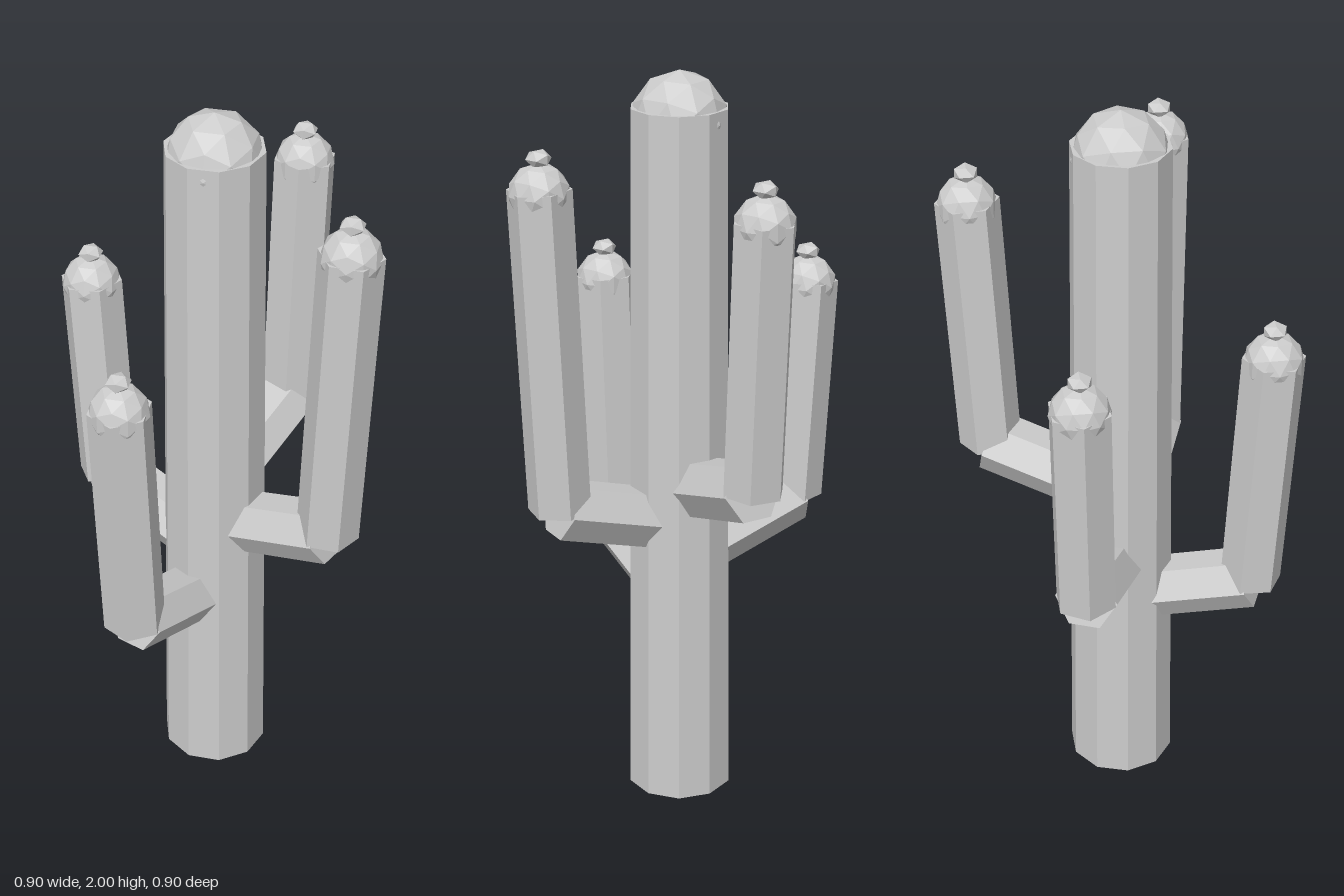
import * as THREE from 'three';

const green = new THREE.MeshStandardMaterial({ color: 0xcccccc, flatShading: true });
green.name = 'plain grey';

function addMesh(parent, name, geometry, x, y, z) {
  const mesh = new THREE.Mesh(geometry, green);
  mesh.name = name;
  mesh.position.set(x, y, z);
  parent.add(mesh);
  return mesh;
}

// Six-sided limb between two points of an arm's vertical plane (radial, height)
function addLimb(parent, name, radius, from, to, roll) {
  const dx = to[0] - from[0], dy = to[1] - from[1];
  const geometry = new THREE.CylinderGeometry(radius, radius, Math.hypot(dx, dy), 6);
  geometry.rotateY(roll);
  const limb = addMesh(parent, name, geometry, (from[0] + to[0]) / 2, (from[1] + to[1]) / 2, 0);
  limb.rotation.z = -Math.atan2(dx, dy);
}

// Arm: sloping elbow, upright limb leaning slightly outwards, dome and bud
function createArm(name, angle, base, top) {
  const arm = new THREE.Group();
  arm.name = name;
  arm.rotation.y = -angle;
  const elbow = [0.363, base];
  const tip = [0.4, top];
  addLimb(arm, 'elbow', 0.083, [0.05, base - 0.095], elbow, 0);
  addLimb(arm, 'upright', 0.083, elbow, tip, Math.PI / 6 + Math.PI / 8);

  const dome = addMesh(arm, 'dome', new THREE.IcosahedronGeometry(0.0785, 1), 0.4, top - 0.013, 0);
  dome.rotation.y = angle;
  const bud = addMesh(arm, 'bud', new THREE.IcosahedronGeometry(0.034, 0), 0.4, top + 0.076, 0);
  bud.scale.y = 0.7;
  bud.rotation.y = angle;
  return arm;
}

export function createModel() {
  const cactus = new THREE.Group();
  cactus.name = 'cactus';

  // Tapered ten-sided trunk with a faceted dome
  const trunk = addMesh(cactus, 'trunk', new THREE.CylinderGeometry(0.128, 0.145, 1.91, 10), 0, 0.955, 0);
  trunk.rotation.y = Math.PI / 10;
  addMesh(cactus, 'trunkDome', new THREE.IcosahedronGeometry(0.125, 1), 0, 1.877, 0);

  // Four arms a quarter turn apart: name, base height, top height
  [
    ['leftArm', 0.89, 1.75],
    ['frontArm', 0.66, 1.367],
    ['rightArm', 0.785, 1.397],
    ['backArm', 0.99, 1.708],
  ].forEach(([name, base, top], i) => {
    cactus.add(createArm(name, Math.PI / 8 + (i * Math.PI) / 2, base, top));
  });
  return cactus;
}
